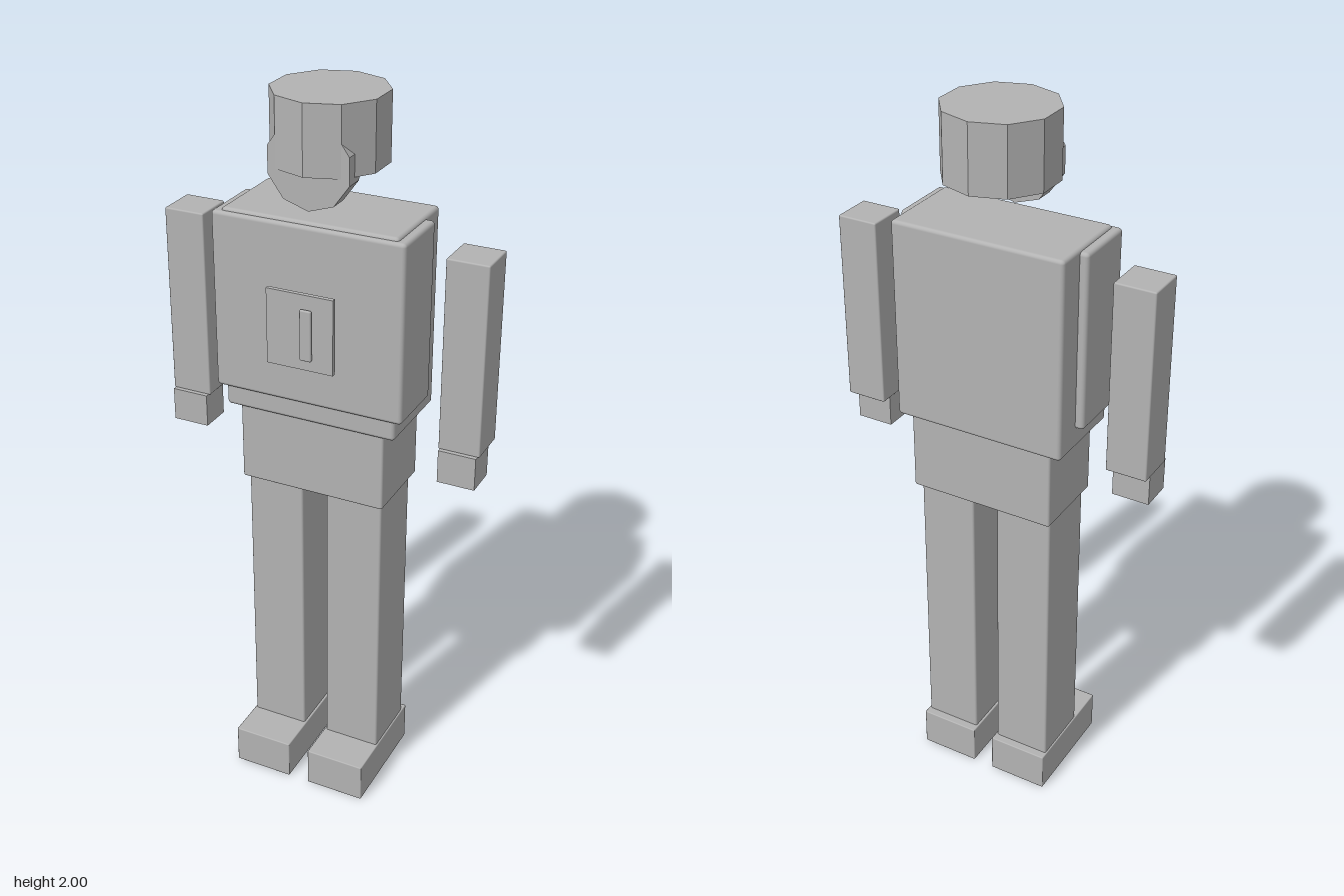
import * as THREE from 'three';
import { RoundedBoxGeometry } from 'three/addons/geometries/RoundedBoxGeometry.js';

export function createModel() {
  const model = new THREE.Group();
  model.name = 'blockFigure';
  const grey = new THREE.MeshStandardMaterial({ color: 0xb3b3b3 });
  grey.name = 'plainGrey';
  const faceted = grey;

  function add(name, geometry, x, y, z) {
    const mesh = new THREE.Mesh(geometry, faceted);
    mesh.name = name;
    mesh.position.set(x, y, z);
    model.add(mesh);
    return mesh;
  }

  // box given by its limits, with an optional rounded edge
  function box(name, [x0, x1], [y0, y1], [z0, z1], bevel = 0) {
    const size = [x1 - x0, y1 - y0, z1 - z0];
    const geometry = bevel
      ? new RoundedBoxGeometry(...size, 2, bevel)
      : new THREE.BoxGeometry(...size);
    return add(name, geometry, (x0 + x1) / 2, (y0 + y1) / 2, (z0 + z1) / 2);
  }

  // ten-sided prism with flat facets
  function prism(radius, depth) {
    const geometry = new THREE.CylinderGeometry(radius, radius, depth, 10).toNonIndexed();
    geometry.computeVertexNormals();
    return geometry;
  }

  // head and chin
  add('head', prism(0.15, 0.18), 0, 1.91, -0.031);
  const chin = add('chin', prism(0.115, 0.055), 0, 1.841, 0.063);
  chin.rotation.x = Math.PI / 2;

  // body
  box('torso', [-0.242, 0.242], [1.15, 1.7], [-0.157, 0.095], 0.01);
  box('chest', [-0.265, 0.265], [1.207, 1.692], [-0.077, 0.106], 0.01);
  box('pelvis', [-0.207, 0.207], [0.93, 1.17], [-0.143, 0.082], 0.006);

  // floating chest panel with its bar
  box('chestPanel', [-0.093, 0.092], [1.325, 1.53], [0.13, 0.142]);
  box('panelBar', [0.006, 0.038], [1.357, 1.495], [0.147, 0.157], 0.004);

  // limbs, mirrored
  for (const [side, s] of [['left', 1], ['right', -1]]) {
    const span = (a, b) => (s > 0 ? [a, b] : [-b, -a]);
    box(side + 'Arm', span(0.336, 0.449), [1.12, 1.642], [-0.087, 0.026], 0.004);
    box(side + 'Hand', span(0.341, 0.444), [1.03, 1.122], [-0.052, 0.038]);
    box(side + 'Leg', span(0.036, 0.197), [0.11, 0.932], [-0.12, 0.063], 0.006);
    box(side + 'Foot', span(0.03, 0.201), [0, 0.115], [-0.143, 0.175], 0.003);
  }

  return model;
}
